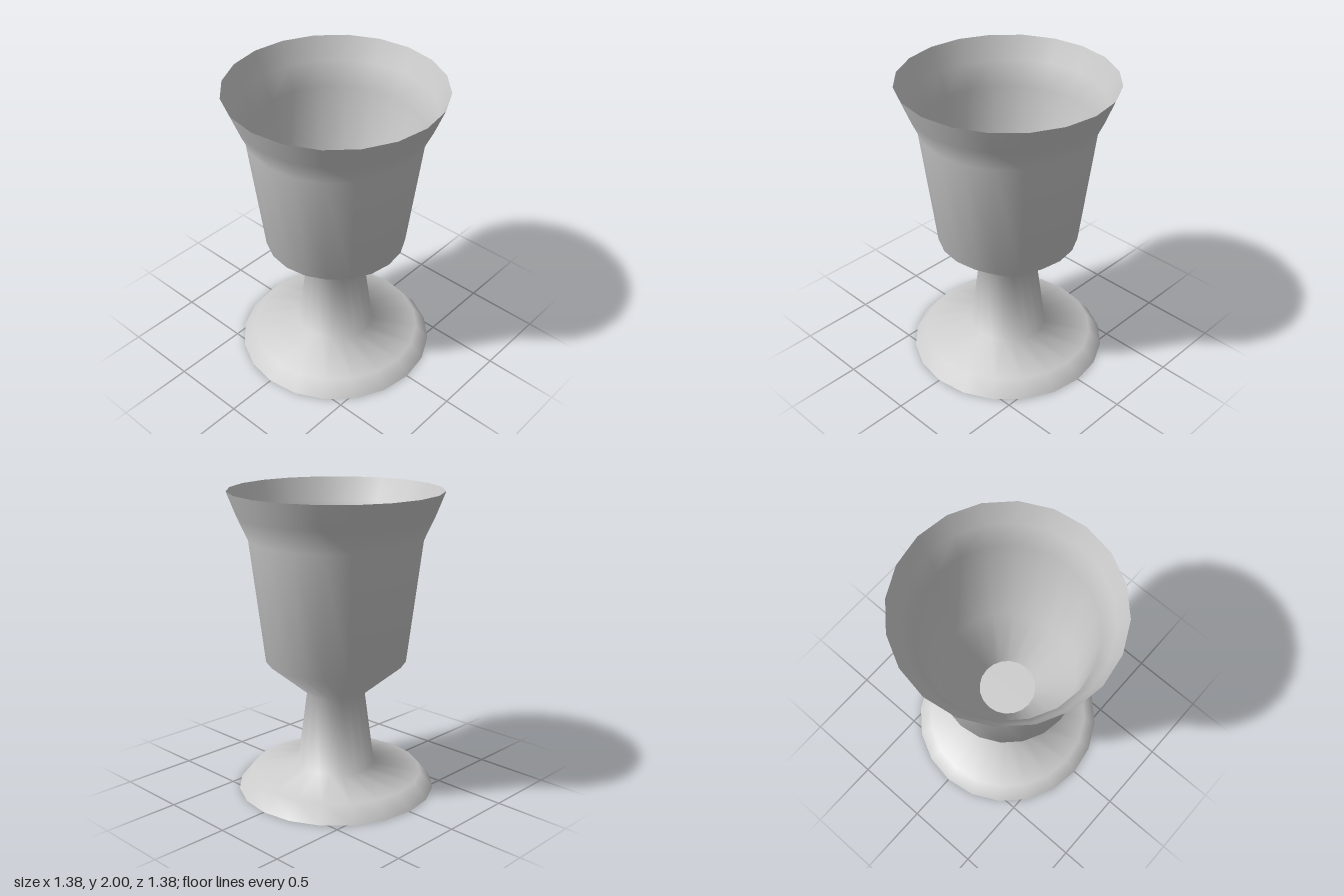
import * as THREE from 'three';

const SIDES = 20;

export function createModel() {
  const group = new THREE.Group();
  group.name = 'goblet';
  const material = new THREE.MeshStandardMaterial({ color: 0xcccccc, side: THREE.DoubleSide });

  const add = (name, geometry) => {
    const mesh = new THREE.Mesh(geometry, material);
    mesh.name = name;
    group.add(mesh);
    return mesh;
  };

  // Thin turned wall: foot, stem, cup and flared lip in one smooth surface
  const profile = [
    [0.66, 0],
    [0.575, 0.105],
    [0.26, 0.16],
    [0.193, 0.66],
    [0.463, 0.885],
    [0.56, 1.69],
    [0.63, 1.845],
    [0.69, 2],
  ].map(([r, y]) => new THREE.Vector2(r, y));
  add('footStemAndCup', new THREE.LatheGeometry(profile, SIDES));

  // Flat discs, turned so their corners meet the wall
  const disc = (name, radius, y, facing) => {
    const mesh = add(name, new THREE.CircleGeometry(radius, SIDES));
    mesh.rotation.x = -facing * Math.PI / 2;
    mesh.position.y = y;
  };
  disc('cupFloor', 0.193, 0.66, 1);
  disc('footUnderside', 0.66, 0, -1);

  return group;
}
